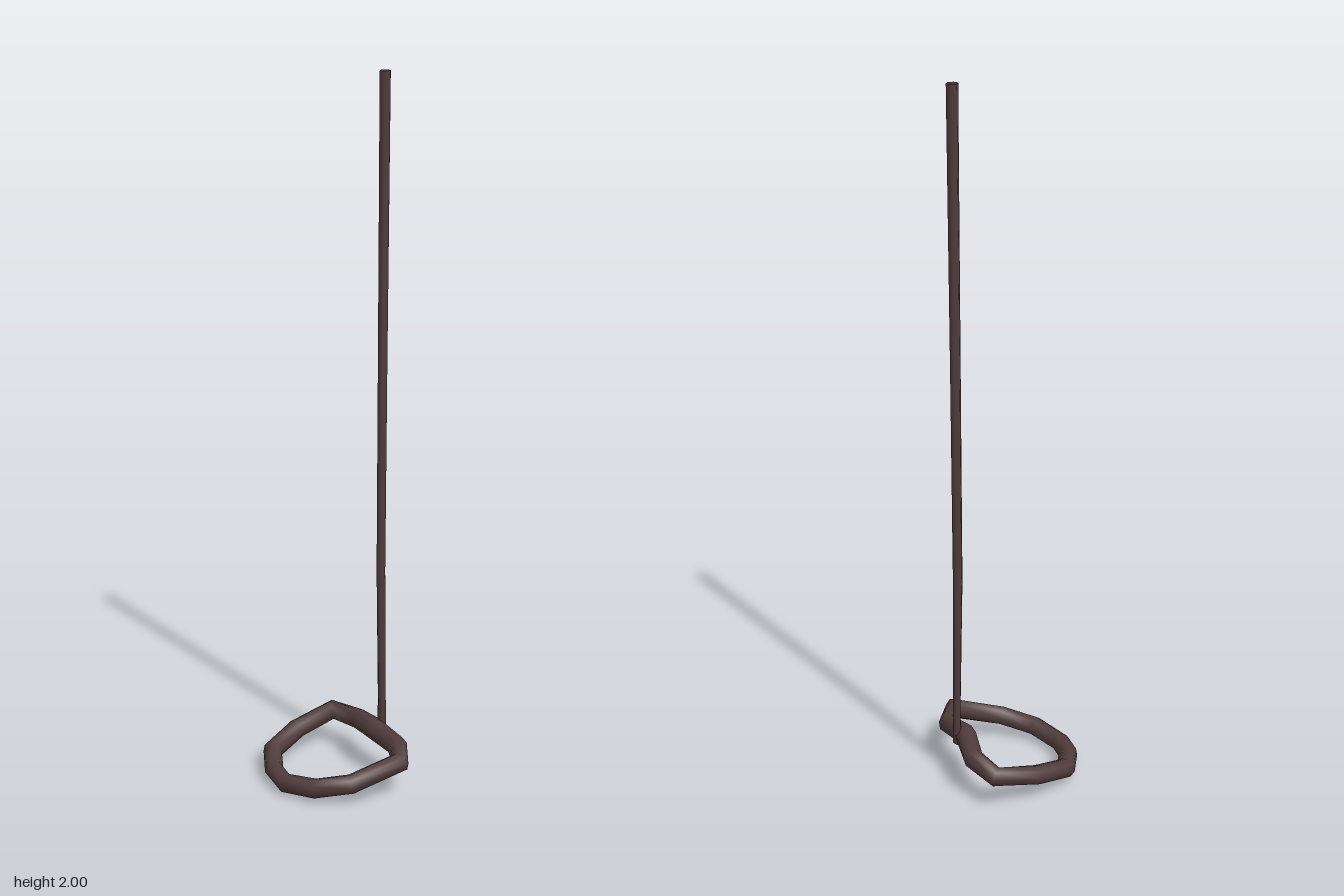
import * as THREE from 'three';

// Skins a list of cross-section rings (arrays of Vector3) with smooth normals.
function skin(rings, closed) {
  const n = rings.length, s = rings[0].length, index = [];
  for (let i = 0; i < (closed ? n : n - 1); i++) {
    for (let j = 0; j < s; j++) {
      const a = i * s + j, b = ((i + 1) % n) * s + j;
      const c = i * s + (j + 1) % s, d = ((i + 1) % n) * s + (j + 1) % s;
      index.push(a, b, c, b, d, c);
    }
  }
  const geo = new THREE.BufferGeometry().setFromPoints(rings.flat());
  geo.setIndex(index);
  geo.computeVertexNormals();
  return geo;
}

// One cross-section: an ellipse spanned by the directions u and v.
function section(center, u, v, sides) {
  return Array.from({ length: sides }, (_, j) => {
    const a = (j / sides) * Math.PI * 2;
    return center.clone().addScaledVector(u, Math.cos(a)).addScaledVector(v, Math.sin(a));
  });
}

export function createModel() {
  const group = new THREE.Group();
  const iron = new THREE.MeshStandardMaterial({ color: 0x513c3c });
  iron.name = 'dark iron';

  const add = (name, geo) => {
    const mesh = new THREE.Mesh(geo, iron);
    mesh.name = name;
    group.add(mesh);
    return mesh;
  };

  // Tilted D-shaped loop: x, y, z, radius
  const path = [
    [0.13, 0.098, -0.215, 0.029], [0.001, 0.071, -0.196, 0.028],
    [-0.107, 0.045, -0.142, 0.028], [-0.152, 0.034, -0.045, 0.027],
    [-0.16, 0.028, 0.038, 0.027], [-0.117, 0.041, 0.136, 0.028],
    [-0.035, 0.061, 0.196, 0.028], [0.11, 0.102, 0.212, 0.029],
    [0.156, 0.105, 0.12, 0.029], [0.144, 0.119, 0.03, 0.031],
    [0.144, 0.119, -0.01, 0.031], [0.157, 0.104, -0.107, 0.029],
  ];
  const pts = path.map(([x, y, z]) => new THREE.Vector3(x, y, z));
  const up = new THREE.Vector3(-0.24, 1, 0).normalize();
  const rings = path.map(([, , , r], i) => {
    const n = pts.length;
    const before = pts[i].clone().sub(pts[(i + n - 1) % n]).normalize();
    const after = pts[(i + 1) % n].clone().sub(pts[i]).normalize();
    const out = up.clone().cross(before.add(after)).normalize().negate();
    return section(pts[i], out.multiplyScalar(r), up.clone().multiplyScalar(r), 8);
  });
  add('loop', skin(rings, true));

  // Long six-sided rod, slightly bent and flared at its foot: x, y, radius x, radius z
  const rod = [
    [0.166, 0.1, 0.012, 0.02], [0.166, 0.2, 0.011, 0.015], [0.16, 0.6, 0.014, 0.014],
    [0.161, 1.2, 0.015, 0.015], [0.163, 2, 0.017, 0.016],
  ];
  const rodZ = 0.013;
  add('rod', skin(rod.map(([x, y, rx, rz]) => section(
    new THREE.Vector3(x, y, rodZ), new THREE.Vector3(rx, 0, 0), new THREE.Vector3(0, 0, -rz), 6
  ).reverse()), false));

  // Flat ends of the rod
  for (const [name, row, turn] of [['rodTop', rod[4], -1], ['rodFoot', rod[0], 1]]) {
    const cap = add(name, new THREE.CircleGeometry(1, 6));
    cap.rotation.x = turn * Math.PI / 2;
    cap.scale.set(row[2], row[3], 1);
    cap.position.set(row[0], row[1], rodZ);
  }
  return group;
}
